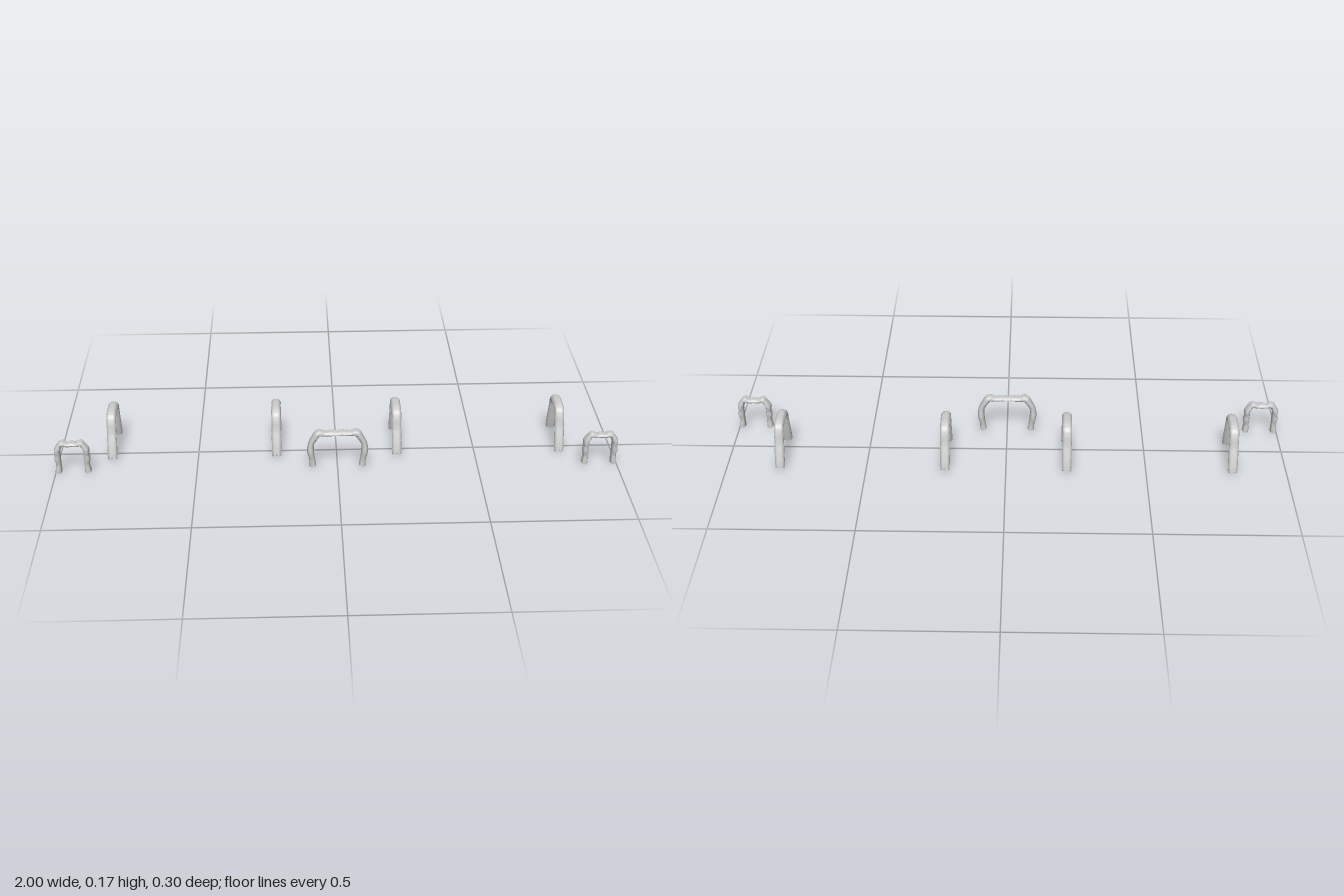
import * as THREE from 'three';
import { toCreasedNormals } from 'three/addons/utils/BufferGeometryUtils.js';

const material = new THREE.MeshStandardMaterial({ color: 0xcccccc, side: THREE.DoubleSide });

// Half profiles from foot to crown: [offset, height, in-plane radius, depth radius]
const TALL = [
  [0.093, 0.010, 0.0125, 0.017], [0.086, 0.036, 0.0130, 0.0175], [0.077, 0.066, 0.0120, 0.0175],
  [0.067, 0.098, 0.0100, 0.017], [0.059, 0.130, 0.0105, 0.017], [0.047, 0.150, 0.0130, 0.0175],
  [0.026, 0.157, 0.0145, 0.0175], [0, 0.158, 0.0145, 0.0175],
];
const WIDE = [
  [0.088, 0.013, 0.012, 0.020], [0.091, 0.040, 0.0105, 0.017], [0.096, 0.070, 0.0125, 0.021],
  [0.094, 0.100, 0.0110, 0.018], [0.081, 0.126, 0.0115, 0.020], [0.067, 0.144, 0.0125, 0.020],
  [0.045, 0.141, 0.0090, 0.016], [0.020, 0.143, 0.0095, 0.018], [0, 0.142, 0.0085, 0.017],
];
const SMALL = [
  [0.052, 0.010, 0.012, 0.020], [0.051, 0.022, 0.0110, 0.019], [0.050, 0.042, 0.0095, 0.016],
  [0.052, 0.062, 0.0115, 0.019], [0.050, 0.078, 0.0100, 0.018], [0.051, 0.096, 0.0115, 0.021],
  [0.042, 0.114, 0.0100, 0.018], [0.032, 0.124, 0.0105, 0.018], [0.016, 0.118, 0.0080, 0.016],
  [0, 0.120, 0.0085, 0.017],
];

// Sweeps an elliptical section of changing size along a mirrored arch
function archGeometry(half, jag = 0, sides = 14) {
  const left = half.map(([u, ...rest]) => [-u, ...rest]);
  const points = [...left, ...half.slice(0, -1).reverse()];
  const path = new THREE.CatmullRomCurve3(points.map(p => new THREE.Vector3(p[0], p[1], 0)), false, 'catmullrom');
  const size = new THREE.CatmullRomCurve3(points.map(p => new THREE.Vector3(p[2], p[3], 0)), false, 'catmullrom');
  const steps = (points.length - 1) * 4;
  const positions = [], index = [];

  for (let i = 0; i <= steps; i++) {
    const t = i / steps;
    const c = path.getPoint(t), r = size.getPoint(t), d = path.getTangent(t);
    const end = i === 0 ? -1 : i === steps ? 1 : 0;
    for (let j = 0; j < sides; j++) {
      const a = (j / sides) * Math.PI * 2;
      const n = r.x * Math.cos(a);
      const push = end * jag * (j % 2 ? 1 : -1); // ragged foot edge
      positions.push(c.x - d.y * n + d.x * push, c.y + d.x * n + d.y * push, r.y * Math.sin(a));
    }
  }
  // Foot centres close both ends
  const first = (steps + 1) * sides;
  for (const t of [0, 1]) positions.push(...path.getPoint(t).toArray());

  for (let j = 0; j < sides; j++) {
    const k = (j + 1) % sides;
    for (let i = 0; i < steps; i++) {
      const a = i * sides, b = a + sides;
      index.push(a + j, a + k, b + j, a + k, b + k, b + j);
    }
    index.push(first, k, j, first + 1, steps * sides + j, steps * sides + k);
  }
  const geometry = new THREE.BufferGeometry();
  geometry.setAttribute('position', new THREE.Float32BufferAttribute(positions, 3));
  geometry.setIndex(index);
  return toCreasedNormals(geometry, Math.PI / 4);
}

export function createModel() {
  const model = new THREE.Group();
  const add = (name, geometry, x, z, turn = 0) => {
    const mesh = new THREE.Mesh(geometry, material);
    mesh.name = name;
    mesh.position.set(x, 0, z);
    mesh.rotation.y = turn;
    model.add(mesh);
  };
  const tall = archGeometry(TALL, 0.005);
  const small = archGeometry(SMALL);

  // Central front handle
  add('centreHandle', archGeometry(WIDE), 0, 0.124);

  // Paired handles on both sides
  for (const [side, s] of [['left', 1], ['right', -1]]) {
    add(`${side}InnerArch`, tall, s * 0.217, -0.048, Math.PI / 2);
    add(`${side}OuterArch`, tall, s * 0.807, -0.048, Math.PI / 2);
    add(`${side}EndHandle`, small, s * 0.936, 0.130);
  }
  return model;
}
